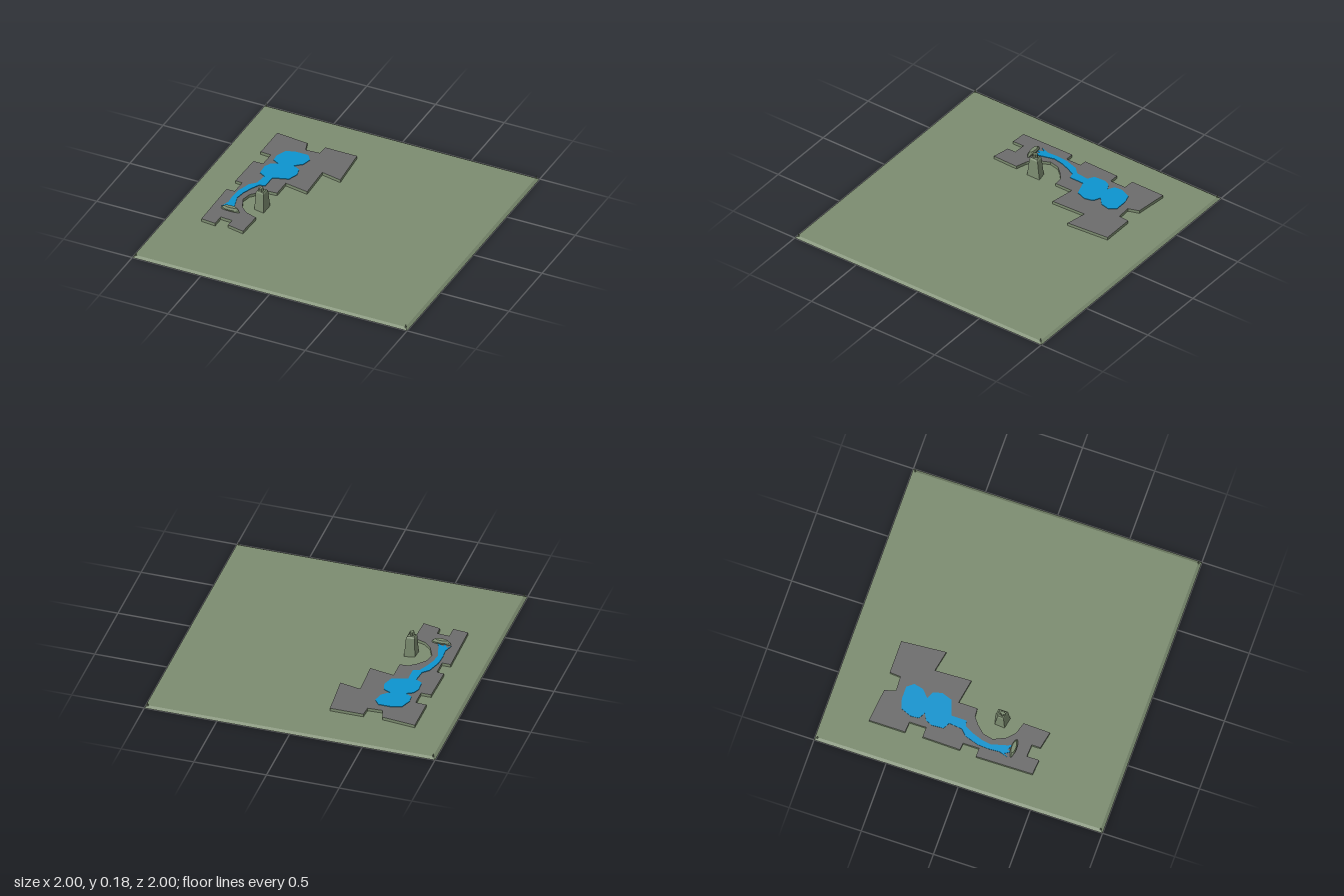
import * as THREE from 'three';

const mat = (name, color) => {
  const m = new THREE.MeshStandardMaterial({ color, side: THREE.DoubleSide, flatShading: true });
  m.name = name;
  return m;
};

// Outlines as [x, z], clockwise seen from above
const square = (s) => [[-s, -s], [s, -s], [s, s], [-s, s]];
const plateauLine = [
  [-.765, -.70], [-.535, -.675], [-.51, -.60], [-.41, -.605], [-.405, -.68], [-.175, -.68],
  [-.15, -.375], [-.295, -.405], [-.285, -.155], [-.455, -.185], [-.455, -.055],
  [-.515, -.05], [-.565, -.01], [-.61, .04], [-.625, .11], [-.585, .195], [-.535, .24],
  [-.455, .265], [-.46, .45], [-.58, .425], [-.58, .365], [-.665, .36], [-.665, .445],
  [-.77, .435], [-.775, .045], [-.715, .045], [-.715, -.065], [-.765, -.07],
  [-.76, -.33], [-.69, -.33], [-.69, -.445], [-.765, -.45],
];
const waterLine = [
  [-.62, -.525], [-.555, -.545], [-.465, -.545], [-.43, -.50], [-.445, -.435], [-.495, -.39],
  [-.445, -.365], [-.43, -.305], [-.455, -.235], [-.56, -.20], [-.56, -.095], [-.60, -.085],
  [-.63, -.025], [-.655, .045], [-.665, .11], [-.635, .22], [-.62, .25], [-.665, .225], [-.67, .255],
  [-.695, .215], [-.715, .245], [-.695, .18], [-.70, .11], [-.695, .03], [-.665, -.065],
  [-.625, -.105], [-.615, -.195], [-.66, -.22], [-.665, -.30], [-.645, -.345],
  [-.60, -.37], [-.645, -.395], [-.65, -.45],
];
const towerBase = [[-.515, .085], [-.445, .07], [-.445, .17], [-.52, .155]];

// Flat horizontal sheet with optional holes
function sheet(line, y, holes = []) {
  const pts = (l) => l.map(([x, z]) => new THREE.Vector2(x, -z));
  const shape = new THREE.Shape(pts(line));
  holes.forEach((h) => shape.holes.push(new THREE.Path(pts(h))));
  return new THREE.ShapeGeometry(shape).rotateX(-Math.PI / 2).translate(0, y, 0);
}

// Walls joining two outlines with equal point counts
function walls(low, y0, high, y1) {
  const v = [];
  low.forEach((a, i) => {
    const j = (i + 1) % low.length;
    const A = [a[0], y0, a[1]], B = [low[j][0], y0, low[j][1]];
    const C = [high[j][0], y1, high[j][1]], D = [high[i][0], y1, high[i][1]];
    v.push(...A, ...C, ...B, ...A, ...D, ...C);
  });
  const g = new THREE.BufferGeometry();
  g.setAttribute('position', new THREE.Float32BufferAttribute(v, 3));
  g.computeVertexNormals();
  return g;
}

// Outline shrunk about a centre
const shrink = (line, sx, sz, cx, cz) => line.map(([x, z]) => [cx + (x - cx) * sx, cz + (z - cz) * sz]);

export function createModel() {
  const grass = mat('grass green', 0x7c8c70);
  const stone = mat('stone grey', 0x6c6c6c);
  const blue = mat('water blue', 0x0d94cf);
  const model = new THREE.Group();
  model.name = 'landscape';
  const add = (name, geo, material, parent = model) => {
    const m = new THREE.Mesh(geo, material);
    m.name = name;
    parent.add(m);
    return m;
  };
  const groundY = .013, plateauY = .034, waterY = .038;

  // Open-bottomed ground with a sloping rim
  add('ground', sheet(square(.98), groundY, [plateauLine, towerBase]), grass);
  add('groundRim', walls(square(1), 0, square(.98), groundY), grass);

  // Small corner markers
  for (const sx of [-1, 1]) for (const sz of [-1, 1]) {
    const g = new THREE.ConeGeometry(.007, .024, 4);
    add('cornerMarker', g, grass).position.set(sx * .982, groundY + .011, sz * .982);
  }

  // Raised plateau with a cut-out for the water
  add('plateauWalls', walls(plateauLine, groundY, plateauLine, plateauY), grass);
  add('plateauTop', sheet(plateauLine, plateauY, [waterLine]), stone);

  // Ponds and stream
  add('waterSurface', sheet(waterLine, waterY), blue);
  add('waterEdge', walls(waterLine, plateauY, waterLine, waterY), blue);

  // Tapered tower, bevelled shoulder and cross-shaped cap
  const tower = new THREE.Group();
  tower.name = 'tower';
  model.add(tower);
  const cx = -.482, cz = .13;
  const shoulder = shrink(towerBase, .82, .66, cx, cz);
  const roof = shrink(towerBase, .62, .48, cx, cz);
  add('towerWalls', walls(towerBase, groundY, shoulder, .145), grass, tower);
  add('towerShoulder', walls(shoulder, .145, roof, .156), grass, tower);
  add('towerRoof', sheet(roof, .156), grass, tower);
  for (const [w, d] of [[.03, .013], [.013, .036]]) {
    add('towerCap', new THREE.BoxGeometry(w, .026, d), grass, tower).position.set(cx, .166, cz);
  }

  // Low rounded mound where the stream ends
  const mound = new THREE.Group();
  mound.name = 'mound';
  model.add(mound);
  const ring = (rx, rz) => Array.from({ length: 12 }, (_, i) => {
    const a = i / 12 * Math.PI * 2;
    return [-.642 + rx * Math.cos(a), .262 + rz * Math.sin(a)];
  });
  add('moundSides', walls(ring(.068, .013), plateauY, ring(.06, .02), .048), grass, mound);
  add('moundShoulder', walls(ring(.06, .02), .048, ring(.043, .014), .064), grass, mound);
  add('moundTop', sheet(ring(.043, .014), .064), grass, mound);

  return model;
}
